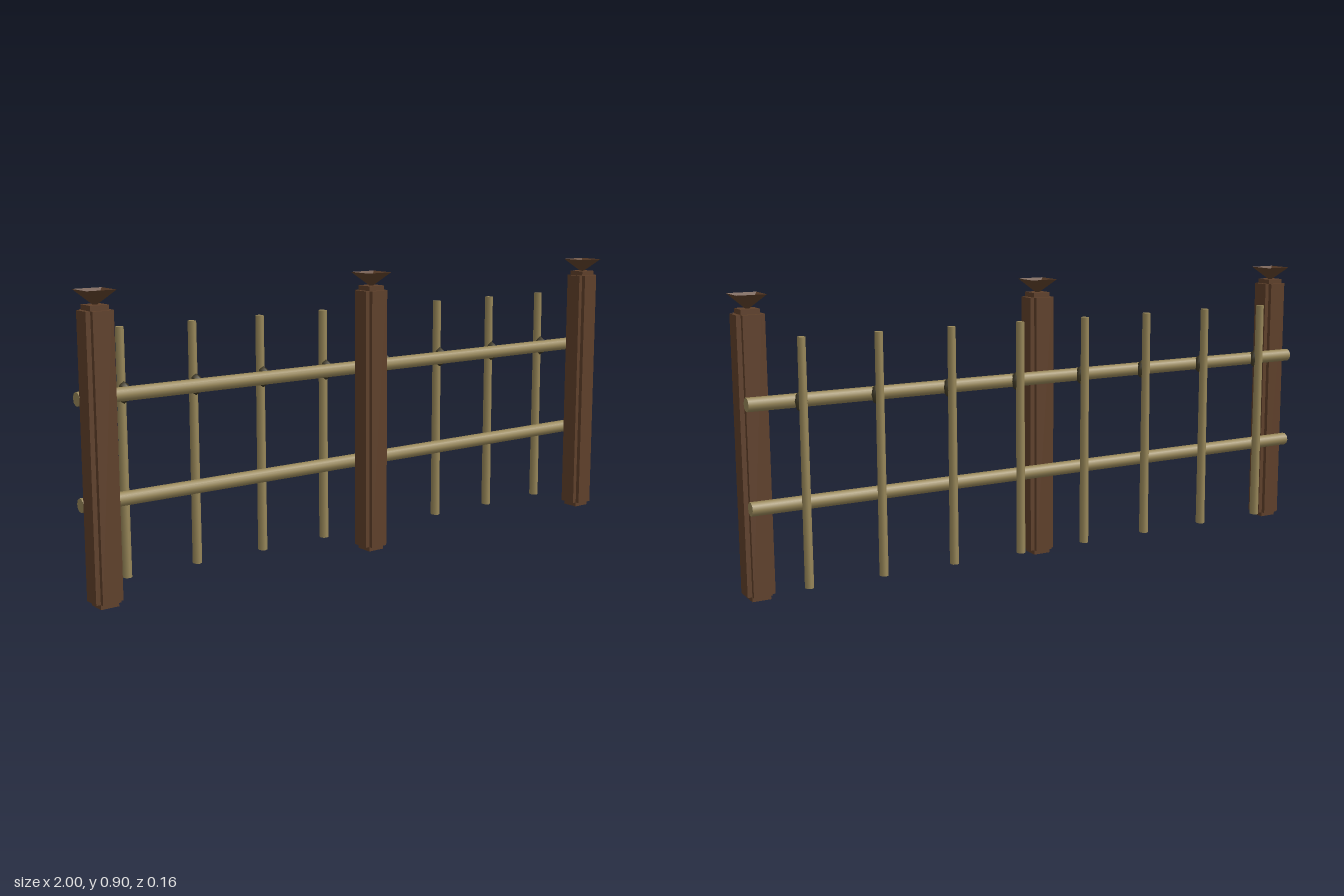
import * as THREE from 'three';

export function createModel() {
  const fence = new THREE.Group();
  fence.name = 'fence';
  const brown = new THREE.MeshStandardMaterial({ name: 'dark brown wood', color: 0x5f402a });
  const brownOpen = new THREE.MeshStandardMaterial({ name: 'dark brown cap', color: 0x5f402a, side: THREE.DoubleSide });
  const tan = new THREE.MeshStandardMaterial({ name: 'tan cane', color: 0x988759 });
  const cord = new THREE.MeshStandardMaterial({ name: 'dark cord', color: 0x3d3724 });

  function add(parent, name, geometry, material, x, y, z) {
    const mesh = new THREE.Mesh(geometry, material);
    mesh.name = name;
    mesh.position.set(x, y, z);
    parent.add(mesh);
    return mesh;
  }

  // Posts: notched edges from three crossing boxes, with a flared cap
  const wide = 0.085, narrow = 0.057, bodyHeight = 0.827, fullHeight = 0.857;
  const postBoxes = [
    [wide, bodyHeight, narrow],
    [narrow, bodyHeight, wide],
    [narrow, fullHeight, narrow],
  ].map((size) => new THREE.BoxGeometry(...size));
  const capGeometry = new THREE.CylinderGeometry(0.045 * Math.SQRT2, 0.002, 0.045, 4, 1, true)
    .rotateY(Math.PI / 4).toNonIndexed();
  capGeometry.computeVertexNormals();
  for (const x of [-0.955, 0, 0.955]) {
    const post = new THREE.Group();
    post.name = 'post';
    post.position.set(x, 0, 0.033);
    fence.add(post);
    for (const box of postBoxes) add(post, 'postBody', box, brown, 0, 0.43, 0);
    add(post, 'postCap', capGeometry, brownOpen, 0, 0.8775, 0);
  }

  // Round horizontal rails behind the posts
  const railGeometry = new THREE.CylinderGeometry(0.021, 0.021, 1.981, 10).rotateZ(Math.PI / 2);
  for (const y of [0.288, 0.592]) add(fence, 'rail', railGeometry, tan, -0.0025, y, -0.024);

  // Upright canes, each tied to the upper rail
  const caneGeometry = new THREE.CylinderGeometry(0.0145, 0.0165, 0.74, 8).scale(0.85, 1, 1);
  const tieProfile = [[0.001, 0], [0.021, 0], [0.033, 0.023], [0.022, 0.034], [0.001, 0.034]]
    .map(([r, h]) => new THREE.Vector2(r, h));
  const tieGeometry = new THREE.LatheGeometry(tieProfile, 8).rotateX(-Math.PI / 2).scale(0.6, 1, 1);
  for (let i = 0; i < 8; i++) {
    const x = -0.834 + i * 0.238;
    add(fence, 'cane', caneGeometry, tan, x, 0.41, -0.062);
    add(fence, 'tie', tieGeometry, cord, x, 0.592, -0.023);
  }
  return fence;
}
